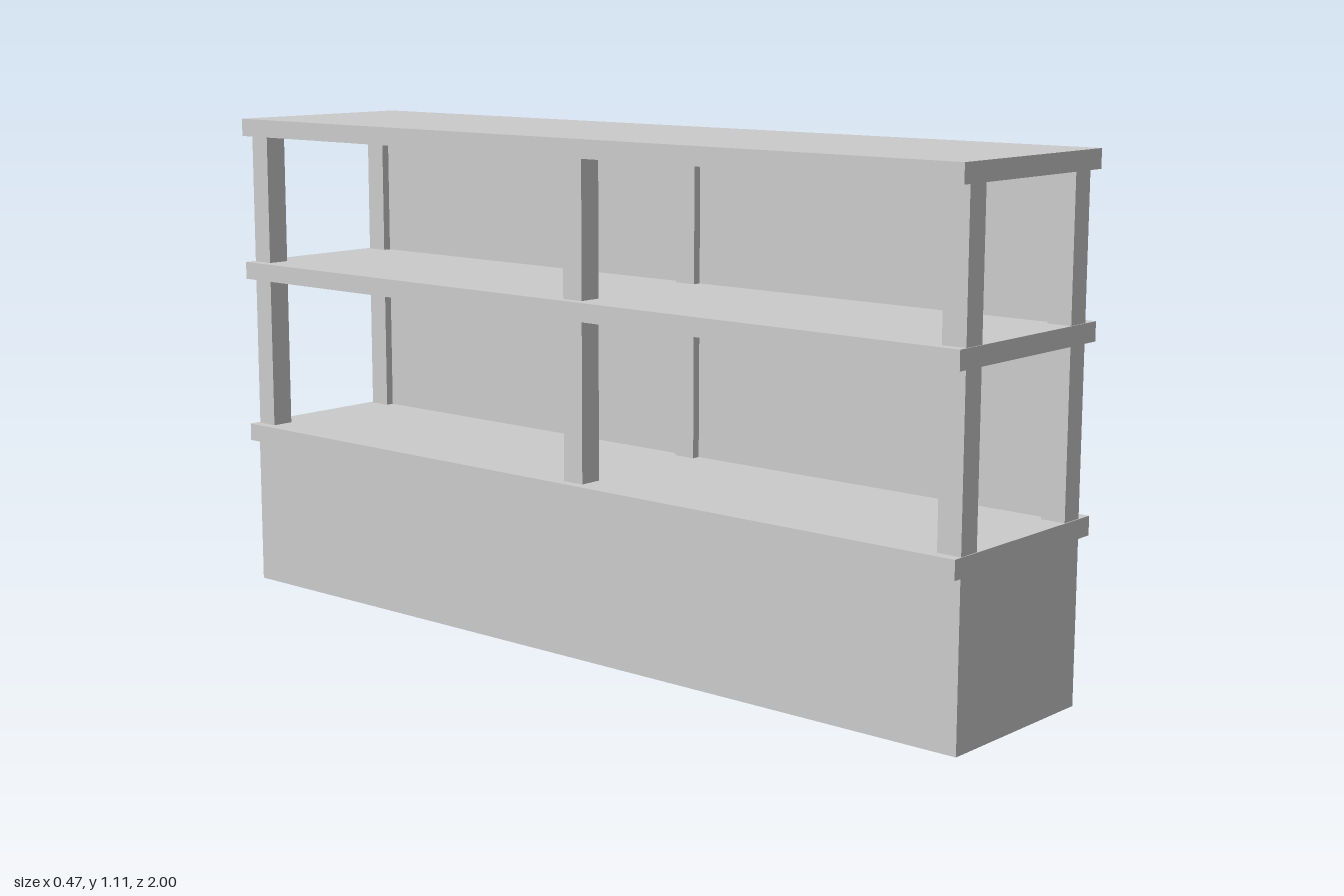
import * as THREE from 'three';

const material = new THREE.MeshStandardMaterial({ color: 0xcccccc });

// Box given by its minimum and maximum on each axis
function addBox(group, name, [x0, x1], [y0, y1], [z0, z1]) {
  const mesh = new THREE.Mesh(new THREE.BoxGeometry(x1 - x0, y1 - y0, z1 - z0), material);
  mesh.name = name;
  mesh.position.set((x0 + x1) / 2, (y0 + y1) / 2, (z0 + z1) / 2);
  group.add(mesh);
}

export function createModel() {
  const model = new THREE.Group();
  model.name = 'shelfCounter';

  // Three long boards
  const boards = { lowerShelf: [0.342, 0.382], middleShelf: [0.73, 0.77], top: [1.066, 1.106] };
  for (const [name, y] of Object.entries(boards)) addBox(model, name, [-0.237, 0.237], y, [-1, 1]);

  const tiers = [[0, 0.342], [0.382, 0.73], [0.77, 1.066]];
  const postZ = [[0.945, 0.998], [0.003, 0.055], [-0.992, -0.94]];
  const postX = { leftPost: [0.148, 0.2], rightPost: [-0.214, -0.162] };

  for (const y of tiers) {
    // Posts between the boards
    for (const [name, x] of Object.entries(postX)) {
      for (const z of postZ) addBox(model, name, x, y, z);
    }
    // Thin recessed panels between the left posts
    addBox(model, 'leftPanel', [0.167, 0.177], y, [-0.945, 0.95]);
  }

  // Closed base: right side and both ends
  addBox(model, 'rightBasePanel', [-0.216, -0.209], tiers[0], [-0.993, 0.999]);
  addBox(model, 'frontBasePanel', [-0.215, 0.199], tiers[0], [0.99, 0.999]);
  addBox(model, 'backBasePanel', [-0.215, 0.199], tiers[0], [-0.993, -0.984]);

  return model;
}
